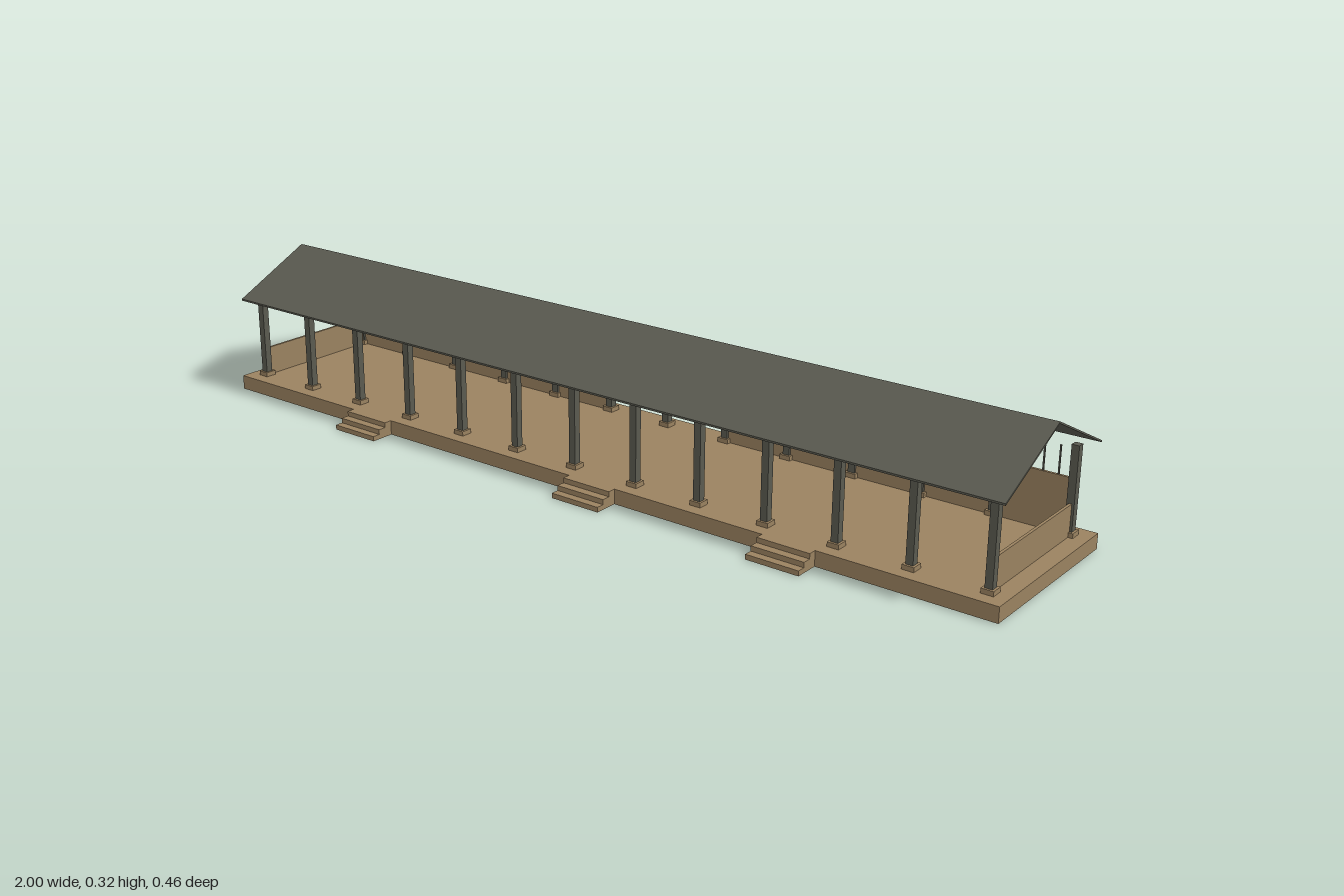
import * as THREE from 'three';

export function createModel() {
  const model = new THREE.Group();
  const stone = new THREE.MeshStandardMaterial({ color: 0x9a8260 });
  stone.name = 'tan stone';
  const slate = new THREE.MeshStandardMaterial({ color: 0x5a5a50 });
  slate.name = 'dark slate';

  // Box given by its limits on each axis
  function box(name, material, [x0, x1], [y0, y1], [z0, z1]) {
    const mesh = new THREE.Mesh(new THREE.BoxGeometry(x1 - x0, y1 - y0, z1 - z0), material);
    mesh.position.set((x0 + x1) / 2, (y0 + y1) / 2, (z0 + z1) / 2);
    mesh.name = name;
    model.add(mesh);
    return mesh;
  }
  const around = (c, width) => [c - width / 2, c + width / 2];

  const floorY = 0.033, frontZ = 0.133, backZ = -0.188, bay = 0.16;

  // Platform
  box('platform', stone, [-1, 1], [0, floorY], [-0.23, 0.175]);

  // Three flights of three steps
  for (const x of [-0.56, 0.08, 0.56]) {
    [0.23, 0.212, 0.193].forEach((z, i) =>
      box('step', stone, around(x, 0.12), [i * 0.011, (i + 1) * 0.011], [0.175, z]));
  }

  // Two rows of posts on square bases
  for (const z of [frontZ, backZ]) {
    for (let i = -6; i <= 6; i++) {
      box('postBase', stone, around(i * bay, 0.026), [floorY, 0.043], around(z, 0.026));
      box('post', slate, around(i * bay, 0.016), [0.043, 0.219], around(z, 0.016));
    }
  }

  for (const side of [-1, 1]) {
    // Low end walls
    box('endWall', stone, around(side * 0.96, 0.006), [floorY, 0.1], [backZ, frontZ]);
    // Back wall panels and railing rods, leaving the two middle bays open
    for (let i = 1; i < 6; i++) {
      box('backWall', stone, around(side * (i + 0.5) * bay, bay), [floorY, 0.15], around(backZ, 0.006));
      for (let k = 1; k <= 4; k++) {
        box('rod', slate, around(side * (i + k / 5) * bay, 0.003), [0.15, 0.21], around(backZ, 0.003));
      }
    }
  }

  // Gabled roof of thin sheets, extruded along x
  const ridge = -0.027, half = 0.195, t = 0.004;
  const profile = new THREE.Shape([
    [-half, 0.22], [0, 0.318 - t], [half, 0.22], [half, 0.22 + t], [0, 0.318], [-half, 0.22 + t],
  ].map(([z, y]) => new THREE.Vector2(z, y)));
  const geometry = new THREE.ExtrudeGeometry(profile, { depth: 1.986, bevelEnabled: false });
  geometry.translate(0, 0, -0.993);
  geometry.rotateY(Math.PI / 2);
  const roof = new THREE.Mesh(geometry, slate);
  roof.name = 'roof';
  roof.position.z = ridge;
  model.add(roof);

  return model;
}
